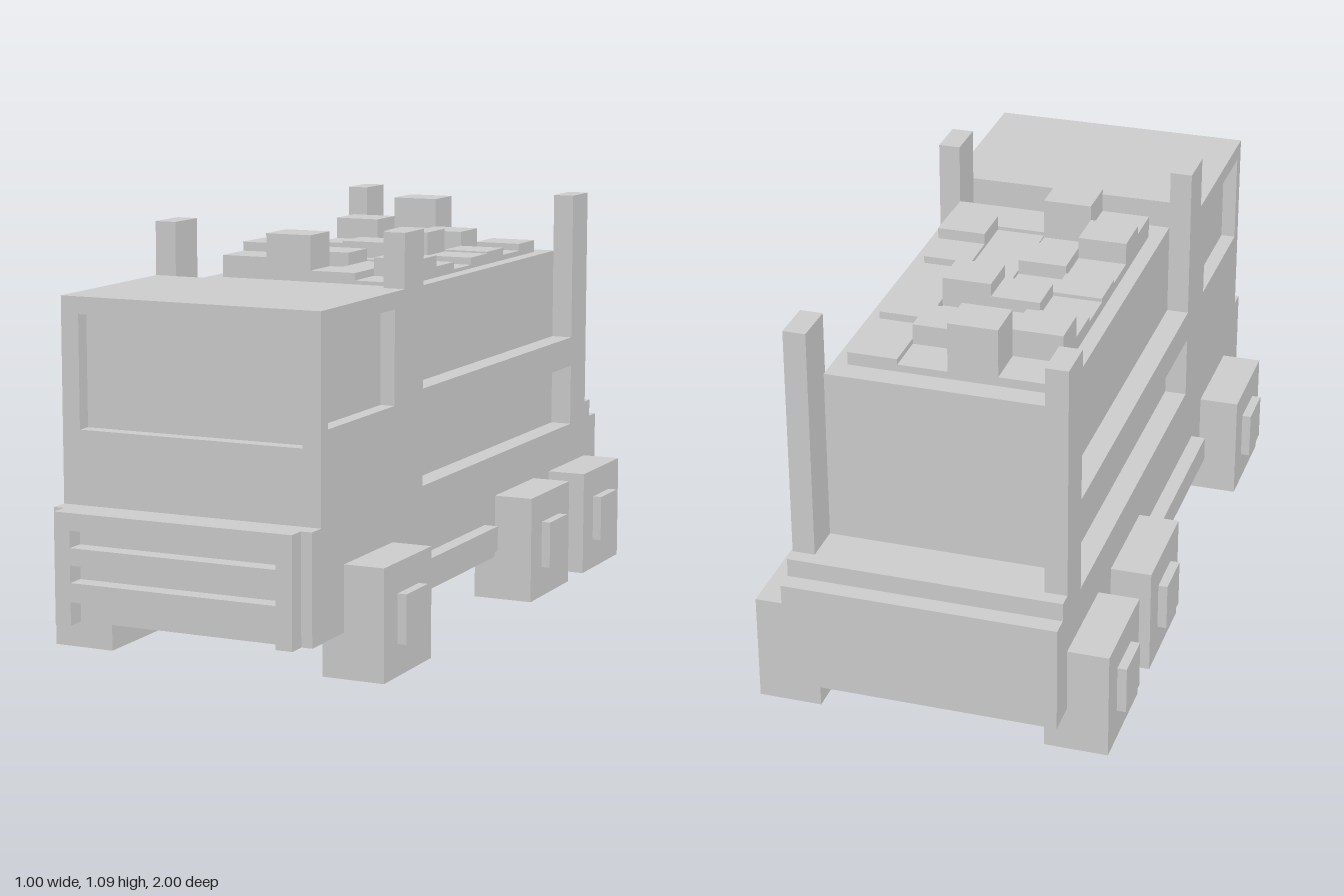
import * as THREE from 'three';

const mat = new THREE.MeshStandardMaterial({ color: 0xcccccc, flatShading: true });

// Box given by its extents on each axis
function box(parent, name, x0, x1, y0, y1, z0, z1) {
  const mesh = new THREE.Mesh(new THREE.BoxGeometry(x1 - x0, y1 - y0, z1 - z0), mat);
  mesh.position.set((x0 + x1) / 2, (y0 + y1) / 2, (z0 + z1) / 2);
  mesh.name = name;
  parent.add(mesh);
  return mesh;
}

// Box on one side of the truck, x measured outward
function sideBox(parent, name, s, x0, x1, y0, y1, z0, z1) {
  return box(parent, name, Math.min(s * x0, s * x1), Math.max(s * x0, s * x1), y0, y1, z0, z1);
}

function rect(Kind, u0, u1, v0, v1) {
  return new Kind([[u0, v0], [u1, v0], [u1, v1], [u0, v1]].map(([u, v]) => new THREE.Vector2(u, v)));
}

// Flat panel with one rectangular window opening
function windowPanel(name, outer, hole, depth) {
  const shape = rect(THREE.Shape, ...outer);
  shape.holes.push(rect(THREE.Path, ...hole));
  const mesh = new THREE.Mesh(new THREE.ExtrudeGeometry(shape, { depth, bevelEnabled: false }), mat);
  mesh.name = name;
  return mesh;
}

export function createModel() {
  const truck = new THREE.Group();
  truck.name = 'truck';
  const W = 0.365, IN = 0.305;

  // Chassis with rear step
  box(truck, 'chassis', -W, W, 0.12, 0.41, -1, 0.95);
  box(truck, 'rearStep', -W, W, 0.41, 0.46, -0.95, -0.79);

  // Front grille: two end pieces and three bars
  const grille = new THREE.Group();
  grille.name = 'grille';
  truck.add(grille);
  for (const s of [-1, 1]) sideBox(grille, 'grilleEnd', s, 0.29, 0.335, 0.12, 0.41, 0.95, 1);
  for (const [y0, y1] of [[0.365, 0.41], [0.275, 0.32], [0.18, 0.23]])
    box(grille, 'grilleBar', -0.29, 0.29, y0, y1, 0.95, 1);

  // Cab: glass core wrapped in panels with window openings
  const cab = new THREE.Group();
  cab.name = 'cab';
  truck.add(cab);
  box(cab, 'cabCore', -0.325, 0.325, 0.41, 0.944, 0.411, 0.86);
  const windshield = windowPanel('frontPanel', [-W, W, 0.41, 0.945], [-0.315, 0.315, 0.605, 0.9], 0.04);
  windshield.position.z = 0.86;
  cab.add(windshield);
  for (const s of [-1, 1]) {
    // Panel coordinate u runs along -z after the turn
    const door = windowPanel('sidePanel', [-0.9, -0.41, 0.41, 0.945], [-0.86, -0.47, 0.65, 0.9], 0.04);
    door.rotation.y = Math.PI / 2;
    door.position.x = s > 0 ? W - 0.04 : -W;
    cab.add(door);
  }
  box(cab, 'roof', -W, W, 0.91, 0.945, 0.41, 0.9);

  // Cargo bed: open-topped walls around a raised floor
  const bed = new THREE.Group();
  bed.name = 'cargoBed';
  truck.add(bed);
  box(bed, 'bedFloor', -0.265, 0.265, 0.41, 0.88, -0.735, 0.22);
  box(bed, 'bedRearWall', -IN, IN, 0.41, 0.925, -0.8, -0.735);
  box(bed, 'bedFrontWall', -IN, IN, 0.41, 0.925, 0.22, 0.29);
  for (const s of [-1, 1]) {
    sideBox(bed, 'bedSideWall', s, 0.265, IN, 0.41, 0.925, -0.735, 0.22);
    sideBox(bed, 'sideRail', s, IN, W, 0.585, 0.67, -0.79, 0.29);
    sideBox(bed, 'rearPost', s, IN, W, 0.41, 1.09, -0.91, -0.79);
    sideBox(bed, 'frontPost', s, IN, W, 0.41, 1.09, 0.29, 0.41);
  }

  // Load of blocks, heights listed per row from front to rear
  const load = new THREE.Group();
  load.name = 'load';
  truck.add(load);
  const heights = [
    [0.985, 1.05, 0.955, 0.935],
    [1.01, 0.94, 0.945, 0.985],
    [0.95, 0.98, 0.945, 0.955],
    [0.96, 0.94, 0.95, 0.935],
    [0.95, 0.985, 1.02, 0.955],
    [0.965, 0.95, 0.94, 0.96],
    [1.025, 0.96, 1.0, 0.94],
    [0.95, 1.08, 0.945, 0.96],
  ];
  const dx = 0.1325, dz = 0.119;
  heights.forEach((row, r) => row.forEach((h, c) => {
    const x = -0.265 + c * dx, z = 0.217 - r * dz;
    box(load, 'loadBlock', x, x + dx, 0.86, h, z - dz, z);
  }));

  // Square wheels with hubs, and a bar along each side
  for (const s of [-1, 1]) {
    for (const z of [0.625, -0.355, -0.765]) {
      const wheel = new THREE.Group();
      wheel.name = 'wheel';
      sideBox(wheel, 'tyre', s, IN, 0.475, 0, 0.295, z - 0.145, z + 0.145);
      sideBox(wheel, 'hub', s, 0.475, 0.5, 0.085, 0.215, z - 0.065, z + 0.065);
      truck.add(wheel);
    }
    sideBox(truck, 'sideBar', s, W, 0.405, 0.155, 0.225, -0.135, s > 0 ? 0.425 : 0.38);
  }
  return truck;
}
